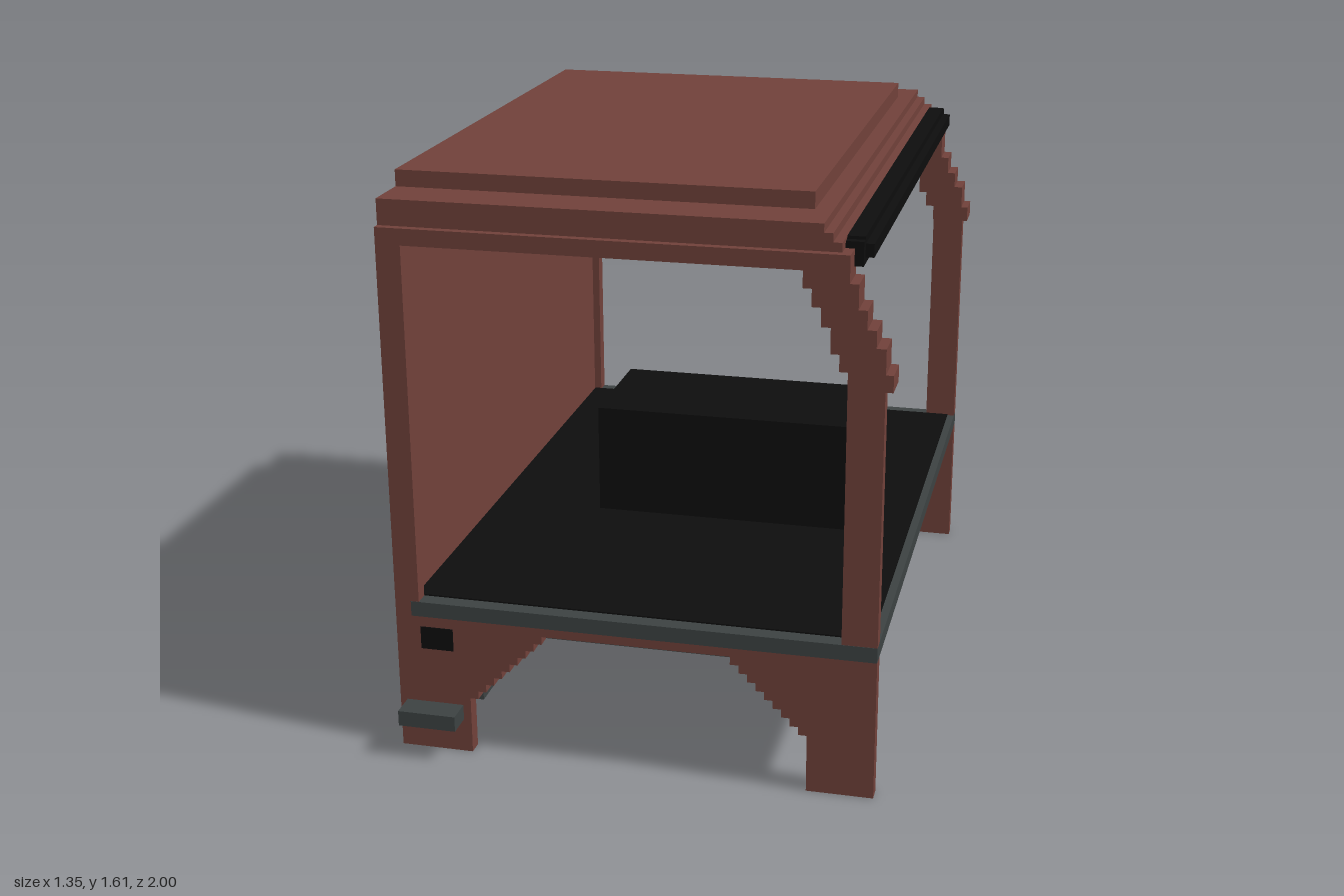
import * as THREE from 'three';

const red = new THREE.MeshStandardMaterial({ name: 'red paint', color: 0x70413a });
const grey = new THREE.MeshStandardMaterial({ name: 'dark grey metal', color: 0x3c4242 });
const black = new THREE.MeshStandardMaterial({ name: 'black trim', color: 0x0d0d0d });
const olive = new THREE.MeshStandardMaterial({ name: 'olive lining', color: 0x7b755e });

export function createModel() {
  const model = new THREE.Group();
  model.name = 'truckCab';

  // Box given by its limits on each axis
  function box(name, mat, x0, x1, y0, y1, z0, z1) {
    const mesh = new THREE.Mesh(new THREE.BoxGeometry(x1 - x0, y1 - y0, z1 - z0), mat);
    mesh.position.set((x0 + x1) / 2, (y0 + y1) / 2, (z0 + z1) / 2);
    mesh.name = name;
    model.add(mesh);
  }

  // Side profile extruded from z0 to z1
  function slab(name, mat, points, z0, z1) {
    const shape = new THREE.Shape(points.map(([x, y]) => new THREE.Vector2(x, y)));
    const geo = new THREE.ExtrudeGeometry(shape, { depth: z1 - z0, bevelEnabled: false });
    const mesh = new THREE.Mesh(geo, mat);
    mesh.position.z = z0;
    mesh.name = name;
    model.add(mesh);
  }

  // Stepped wheel arch, from the front foot over to the rear foot
  const step = 0.0233, archBase = 0.142;
  function arch(rows, firstWidth, base) {
    const side = [];
    for (let i = 0; i < rows; i++) {
      const w = i === 0 ? firstWidth : 0.47 - step * i;
      side.push([w, i === 0 ? base : archBase + step * i], [w, archBase + step * (i + 1)]);
    }
    return [...side, ...side.map(([x, y]) => [-x, y]).reverse()];
  }
  const lowerPanel = [[-0.675, 0], [-0.675, 0.402], [0.652, 0.402], [0.652, 0], ...arch(10, 0.47, 0)];
  const liner = [[-0.47, archBase], [-0.47, 0.375], [0.47, 0.375], [0.47, archBase],
    ...arch(9, 0.447, archBase)];

  // Stepped upper front pillar: [bottom, top, inner x, outer x]
  const stairRows = [
    [1.145, 1.19, 0.56, 0.672], [1.19, 1.235, 0.535, 0.652], [1.235, 1.257, 0.512, 0.652],
    [1.257, 1.303, 0.512, 0.627], [1.303, 1.353, 0.487, 0.603], [1.353, 1.4, 0.463, 0.58],
    [1.4, 1.418, 0.44, 0.58], [1.418, 1.49, 0.44, 0.557],
  ];
  const stair = [
    ...stairRows.flatMap(([y0, y1, , x]) => [[x, y0], [x, y1]]),
    ...stairRows.flatMap(([y0, y1, x]) => [[x, y0], [x, y1]]).reverse(),
  ];

  // Floor, mat and engine cover
  box('floor', grey, -0.63, 0.652, 0.4, 0.443, -0.928, 0.928);
  box('floorMat', black, -0.628, 0.63, 0.443, 0.447, -0.884, 0.884);
  box('engineCover', black, -0.305, 0.465, 0.445, 0.77, -0.187, 0.187);

  // Back wall
  box('backWall', red, -0.675, -0.63, 0.4, 1.49, -0.926, 0.926);

  // Stacked roof layers with the lining underneath
  box('roofBase', red, -0.675, 0.533, 1.49, 1.514, -0.905, 0.905);
  box('roofLower', red, -0.675, 0.51, 1.514, 1.537, -0.905, 0.905);
  box('roofUpper', red, -0.675, 0.487, 1.537, 1.56, -0.905, 0.905);
  box('roofTop', red, -0.675, 0.44, 1.56, 1.605, -0.767, 0.767);
  box('roofLining', olive, -0.63, 0.53, 1.483, 1.489, -0.884, 0.884);

  // Front visor bar built from crossed boxes
  box('visorBar', black, 0.51, 0.602, 1.462, 1.497, -0.835, 0.835);
  box('visorCore', black, 0.534, 0.58, 1.445, 1.508, -0.862, 0.862);
  box('visorTop', black, 0.534, 0.58, 1.508, 1.516, -0.84, 0.84);

  // Parts on both sides
  for (const s of [1, -1]) {
    const span = (a, b) => (s > 0 ? [a, b] : [-b, -a]);
    const skin = span(0.885, 0.927);
    slab('lowerSidePanel', red, lowerPanel, ...skin);
    slab('wheelArchLiner', grey, liner, ...span(0.33, 0.885));
    box('linerInnerWall', grey, -0.4, 0.4, 0.235, 0.36, ...span(0.33, 0.353));
    box('rearPillar', red, -0.675, -0.607, 0.4, 1.49, ...skin);
    box('frontPillar', red, 0.557, 0.652, 0.443, 1.19, ...skin);
    box('sideHeader', red, -0.675, 0.5, 1.445, 1.49, ...skin);
    slab('steppedFrontPillar', red, stair, ...span(0.835, 0.928));
    box('sidePlate', black, -0.605, -0.513, 0.305, 0.37, ...span(0.925, 0.93));
    box('footStep', grey, -0.655, -0.492, 0.098, 0.142, ...span(0.925, 1));
  }
  return model;
}
